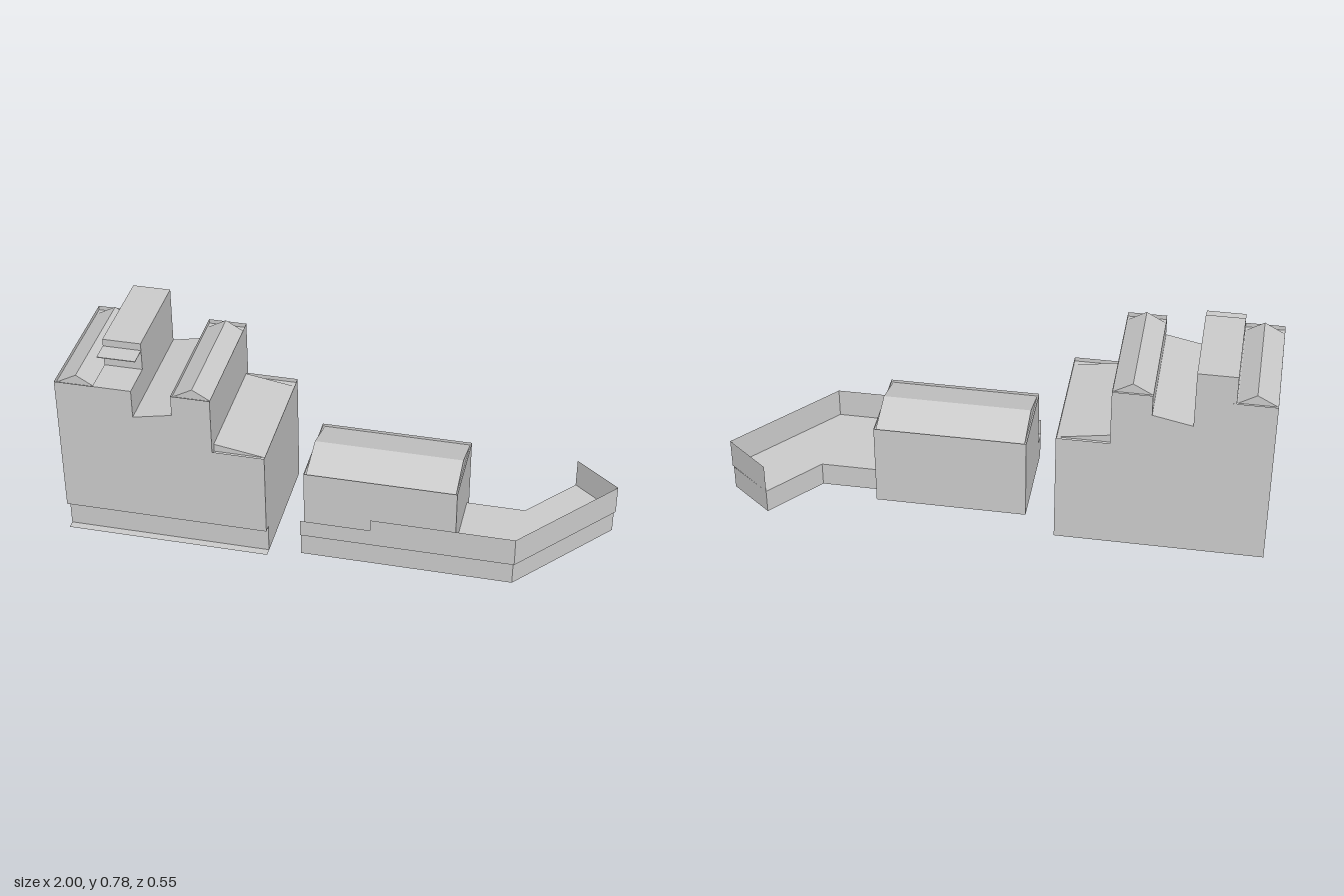
import * as THREE from 'three';

const material = new THREE.MeshStandardMaterial({
  color: 0xcccccc, flatShading: true, side: THREE.DoubleSide,
});

function toShape(points) {
  return new THREE.Shape(points.map(([a, b]) => new THREE.Vector2(a, b)));
}

export function createModel() {
  const model = new THREE.Group();
  let parent = model;

  function add(name, geometry) {
    const mesh = new THREE.Mesh(geometry, material);
    mesh.name = name;
    parent.add(mesh);
    return mesh;
  }

  function startGroup(name) {
    parent = new THREE.Group();
    parent.name = name;
    model.add(parent);
  }

  // Vertical walls along a path of [x, z] points
  function walls(name, path, y0, y1, closed = false) {
    const positions = [];
    const count = closed ? path.length : path.length - 1;
    for (let i = 0; i < count; i++) {
      const [ax, az] = path[i];
      const [bx, bz] = path[(i + 1) % path.length];
      positions.push(ax, y0, az, bx, y0, bz, bx, y1, bz);
      positions.push(ax, y0, az, bx, y1, bz, ax, y1, az);
    }
    const geometry = new THREE.BufferGeometry();
    geometry.setAttribute('position', new THREE.Float32BufferAttribute(positions, 3));
    geometry.computeVertexNormals();
    return add(name, geometry);
  }

  // Horizontal sheet from [x, z] points, facing up
  function deck(name, outline, y) {
    const geometry = new THREE.ShapeGeometry(toShape(outline.map(([x, z]) => [x, -z])));
    geometry.rotateX(-Math.PI / 2);
    geometry.translate(0, y, 0);
    return add(name, geometry);
  }

  const rect = (x0, x1, z0, z1) => [[x0, z1], [x1, z1], [x1, z0], [x0, z0]];

  // Solid with an [x, y] section, running along z
  function prism(name, section, z0, z1) {
    const geometry = new THREE.ExtrudeGeometry(toShape(section), { depth: z1 - z0, bevelEnabled: false });
    geometry.translate(0, 0, z0);
    return add(name, geometry);
  }

  // ---- Tall stepped building, hollow and open below ----
  startGroup('tallBuilding');
  const back = -0.24, front = 0.27, left = -1, right = -0.235;
  const towerL = -0.857, towerR = -0.715, midL = -0.57, midR = -0.427;
  const sill = 0.113, top = 0.667, low = 0.445;

  const facade = [
    [left, sill], [right, sill], [right, low], [midR, low], [midR, top], [midL, top],
    [midL, 0.585], [towerR, 0.555], [towerR, top], [left, top],
  ];
  for (const [name, z] of [['frontFacade', front], ['backFacade', back]]) {
    add(name, new THREE.ShapeGeometry(toShape(facade))).position.z = z;
  }
  const sideWalls = [
    [left, sill, top], [towerL, 0.65, top], [towerR, 0.555, top],
    [midL, 0.585, top], [midR, 0.43, top], [right, sill, low],
  ];
  for (const [x, y0, y1] of sideWalls) {
    walls('sideWall', [[x, back], [x, front]], y0, y1);
  }

  // Recessed ground storey, overhang and pavement strip
  walls('groundStorey', rect(left, right, back, 0.24), 0, sill, true);
  deck('overhang', rect(left, right, 0.24, front), sill);
  deck('pavement', rect(left, right, 0.24, front), 0.002);

  // Roofs sitting inside low parapets
  for (const [x0, x1, ridge] of [[left, towerL, -0.925], [midL, midR, -0.497]]) {
    deck('roofDeck', rect(x0, x1, back, front), 0.65);
    prism('gableRoof', [[x0 + 0.003, 0.651], [x1 - 0.003, 0.651], [ridge, 0.69]], -0.212, 0.247);
  }
  deck('lowRoofDeck', rect(midR, right, back, front), 0.429);
  prism('shedRoof', [[midR, 0.43], [right - 0.002, 0.43], [midR, 0.461]], -0.212, 0.243);
  prism('valleyRoof', [[towerR, 0.555], [midL, 0.555], [midL, 0.585]], back, front);

  // Penthouse with terrace and canopy
  deck('terrace', rect(towerL, towerR, back, front), top);
  const penthouse = rect(towerL, towerR, back, 0.13);
  walls('penthouseWalls', penthouse, top, 0.777, true);
  deck('penthouseRoof', penthouse, 0.777);
  const canopy = add('canopy', new THREE.BoxGeometry(towerR - towerL, 0.003, 0.072));
  canopy.position.set((towerL + towerR) / 2, 0.747, 0.166);

  // ---- Low building with an angled wing, open below ----
  startGroup('lowBuilding');
  const x0 = -0.115, x1 = 0.45, deckY = 0.093, parapetY = 0.207;
  const backLine = [[0.835, -0.275], [0.67, -0.08], [x1, -0.08], [x1, -0.14], [x0, -0.14]];

  walls('baseWalls', [[x0, 0.23], [0.67, 0.23], [0.993, -0.15], ...backLine], 0, deckY, true);
  deck('wingDeck', [[x0, 0.24], [0.675, 0.24], [1, -0.143], ...backLine], deckY);

  // Stepped parapet along the front, round the bend and across the end
  walls('lowParapet', [[x0, 0.24], [0.145, 0.24]], deckY, 0.16);
  walls('highParapet', [[0.145, 0.24], [0.675, 0.24], [1, -0.143], [0.835, -0.275]], deckY, parapetY);

  // Main block with a gable roof running along x
  const zb = -0.14, zf = 0.178, eaveY = 0.328;
  walls('blockWalls', rect(x0, x1, zb, zf), deckY, eaveY, true);
  deck('blockRoofDeck', rect(x0, x1, zb, zf), 0.317);
  const roof = new THREE.ExtrudeGeometry(
    toShape([[-zf + 0.003, 0.318], [-zb - 0.003, 0.318], [-0.02, 0.364]]),
    { depth: 0.552, bevelEnabled: false },
  );
  roof.rotateY(Math.PI / 2);
  roof.translate(-0.108, 0, 0);
  add('blockGableRoof', roof);

  return model;
}
